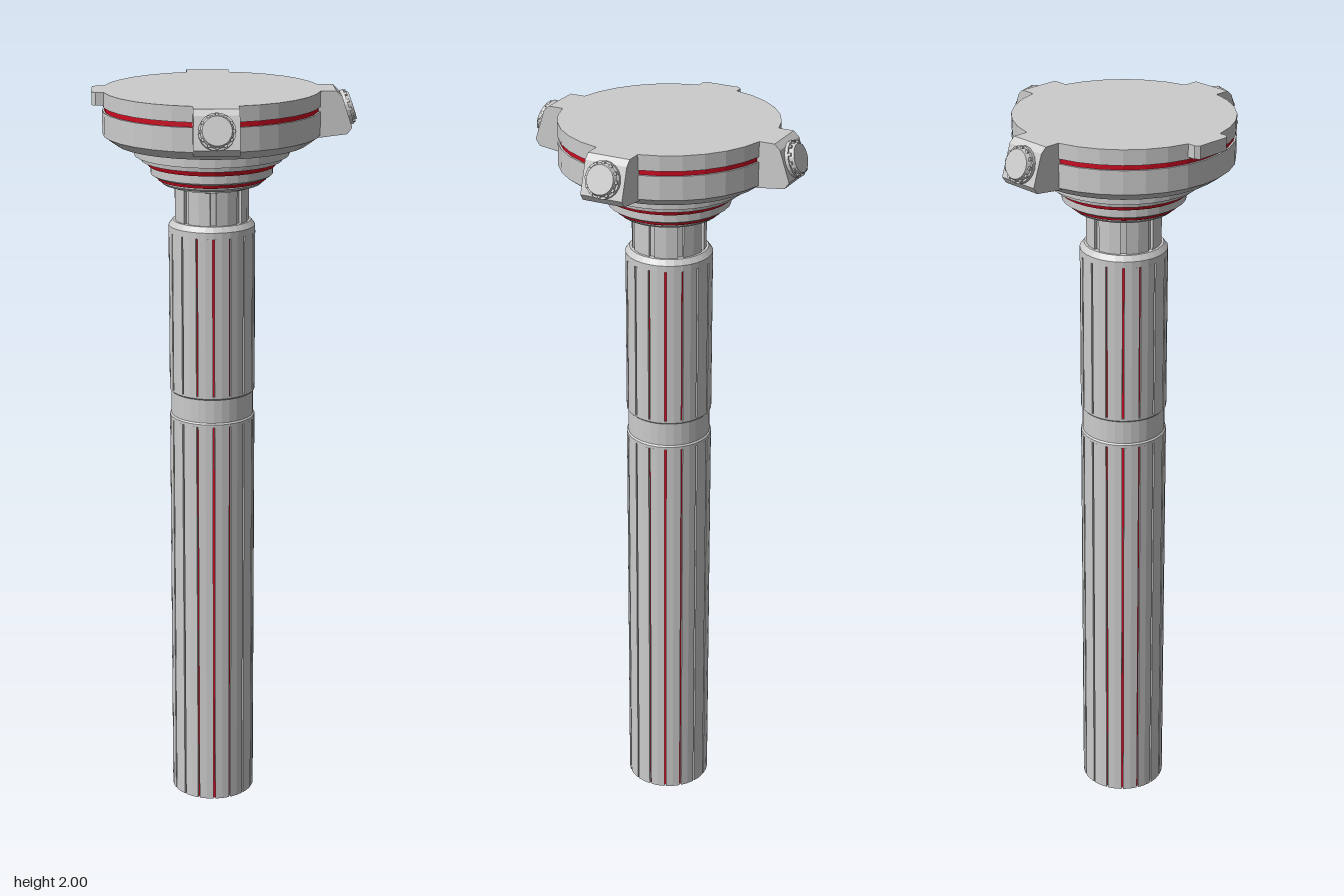
import * as THREE from 'three';

const grey = new THREE.MeshStandardMaterial({ color: 0xcccccc, flatShading: true });
const red = new THREE.MeshStandardMaterial({ color: 0xcc0a20, flatShading: true });

export function createModel() {
  const model = new THREE.Group();
  model.position.x = -0.035; // the side tabs differ in length, so the axis is off centre

  const add = (name, geometry, material = grey, parent = model) => {
    const mesh = new THREE.Mesh(geometry, material);
    mesh.name = name;
    parent.add(mesh);
    return mesh;
  };
  const turned = (name, points, material = grey) =>
    add(name, new THREE.LatheGeometry(points.map(p => new THREE.Vector2(...p)), 32), material);

  // Prism along y: a circle cut by evenly spaced narrow grooves
  const grooved = (name, radius, depth, width, count, y0, y1) => {
    const points = [];
    const step = Math.PI * 2 / count, half = width / radius / 2;
    const polar = (r, a) => points.push(new THREE.Vector2(r * Math.cos(a), r * Math.sin(a)));
    for (let i = 0; i < count; i++) {
      const a = i * step;
      polar(radius - depth, a - half);
      polar(radius - depth, a + half);
      polar(radius, a + half);
      polar(radius, a + step / 2);
      polar(radius, a + step - half);
    }
    const g = new THREE.ExtrudeGeometry(new THREE.Shape(points), { depth: y1 - y0, bevelEnabled: false });
    g.rotateX(-Math.PI / 2).translate(0, y0, 0);
    return add(name, g);
  };

  // Shaft: two grooved sleeves over a red core
  grooved('lowerSleeve', 0.115, 0.007, 0.005, 16, 0, 1.11);
  grooved('upperSleeve', 0.115, 0.007, 0.005, 16, 1.195, 1.625);
  turned('shaftCore', [[0, 0.002], [0.109, 0.002], [0.109, 1.63], [0, 1.63]], red);
  turned('shaftBand', [[0.108, 1.11], [0.115, 1.11], [0.115, 1.118], [0.111, 1.122],
    [0.111, 1.186], [0.115, 1.19], [0.115, 1.195], [0.108, 1.195]]);
  turned('shaftCollar', [[0.1, 1.625], [0.115, 1.625], [0.115, 1.642], [0.104, 1.656], [0, 1.656]]);

  // Neck
  grooved('neck', 0.098, 0.008, 0.016, 8, 1.65, 1.75);
  turned('neckFlange', [[0.09, 1.742], [0.107, 1.746], [0.107, 1.758], [0, 1.758]]);

  // Stepped rings with red seams
  turned('lowerRing', [[0, 1.754], [0.13, 1.754], [0.136, 1.76], [0.136, 1.766], [0, 1.766]]);
  turned('lowerSeam', [[0.1, 1.765], [0.143, 1.765], [0.147, 1.776], [0, 1.776]], red);
  turned('middleRing', [[0, 1.775], [0.154, 1.775], [0.161, 1.78], [0.161, 1.802], [0, 1.802]]);
  turned('upperSeam', [[0.1, 1.802], [0.168, 1.802], [0.174, 1.817], [0, 1.817]], red);
  turned('upperRing', [[0, 1.816], [0.186, 1.816], [0.188, 1.828], [0.204, 1.83], [0.204, 1.855], [0.195, 1.862], [0, 1.862]]);

  // Head
  turned('headBody', [[0, 1.861], [0.252, 1.861], [0.285, 1.885], [0.285, 1.947], [0, 1.947]]);
  turned('headSeam', [[0.2, 1.946], [0.28, 1.946], [0.28, 1.961], [0.2, 1.961]], red);
  turned('headCap', [[0, 1.96], [0.285, 1.96], [0.285, 2], [0, 2]]);

  // Small lip on the right side of the cap
  const lip = new THREE.Shape([[-0.25, -0.056], [-0.3, -0.056], [-0.311, -0.046], [-0.311, 0.046],
    [-0.3, 0.056], [-0.25, 0.056]].map(p => new THREE.Vector2(...p)));
  add('capLip', new THREE.ExtrudeGeometry(lip, { depth: 0.034, bevelEnabled: false })
    .rotateX(-Math.PI / 2).translate(0, 1.966, 0));

  // Three tabs, each with a button on its sloping face
  const profile = new THREE.Shape([[0.25, 1.876], [0.35, 1.888], [0.362, 1.905], [0.335, 1.986],
    [0.32, 2], [0.25, 2]].map(p => new THREE.Vector2(...p)));
  const tabGeometry = new THREE.ExtrudeGeometry(profile, { depth: 0.115, bevelEnabled: false }).translate(0, 0, -0.0575);
  const disc = (rTop, rBottom, height, sides, x) =>
    new THREE.CylinderGeometry(rTop, rBottom, height, sides).rotateZ(-Math.PI / 2).translate(x, 0, 0);

  [['left', 0], ['front', -Math.PI / 2], ['back', Math.PI / 2]].forEach(([side, angle]) => {
    const tab = new THREE.Group();
    tab.name = side + 'Tab';
    tab.rotation.y = angle;
    add(side + 'TabBody', tabGeometry, grey, tab);

    const button = new THREE.Group();
    button.name = side + 'Button';
    button.position.set(0.3485, 1.948, 0);
    button.rotation.z = 0.325;
    add('buttonBase', disc(0.047, 0.047, 0.01, 20, 0.003), grey, button);
    add('buttonCap', disc(0.037, 0.042, 0.012, 20, 0.0135), grey, button);
    for (let i = 0; i < 12; i++) {
      const a = i * Math.PI / 6;
      const grip = add('buttonGrip', new THREE.BoxGeometry(0.007, 0.006, 0.008), grey, button);
      grip.position.set(0.0105, 0.0415 * Math.cos(a), 0.0415 * Math.sin(a));
      grip.rotation.x = a;
    }
    tab.add(button);
    model.add(tab);
  });

  const root = new THREE.Group();
  root.name = 'staffWithRoundHead';
  root.add(model);
  return root;
}
